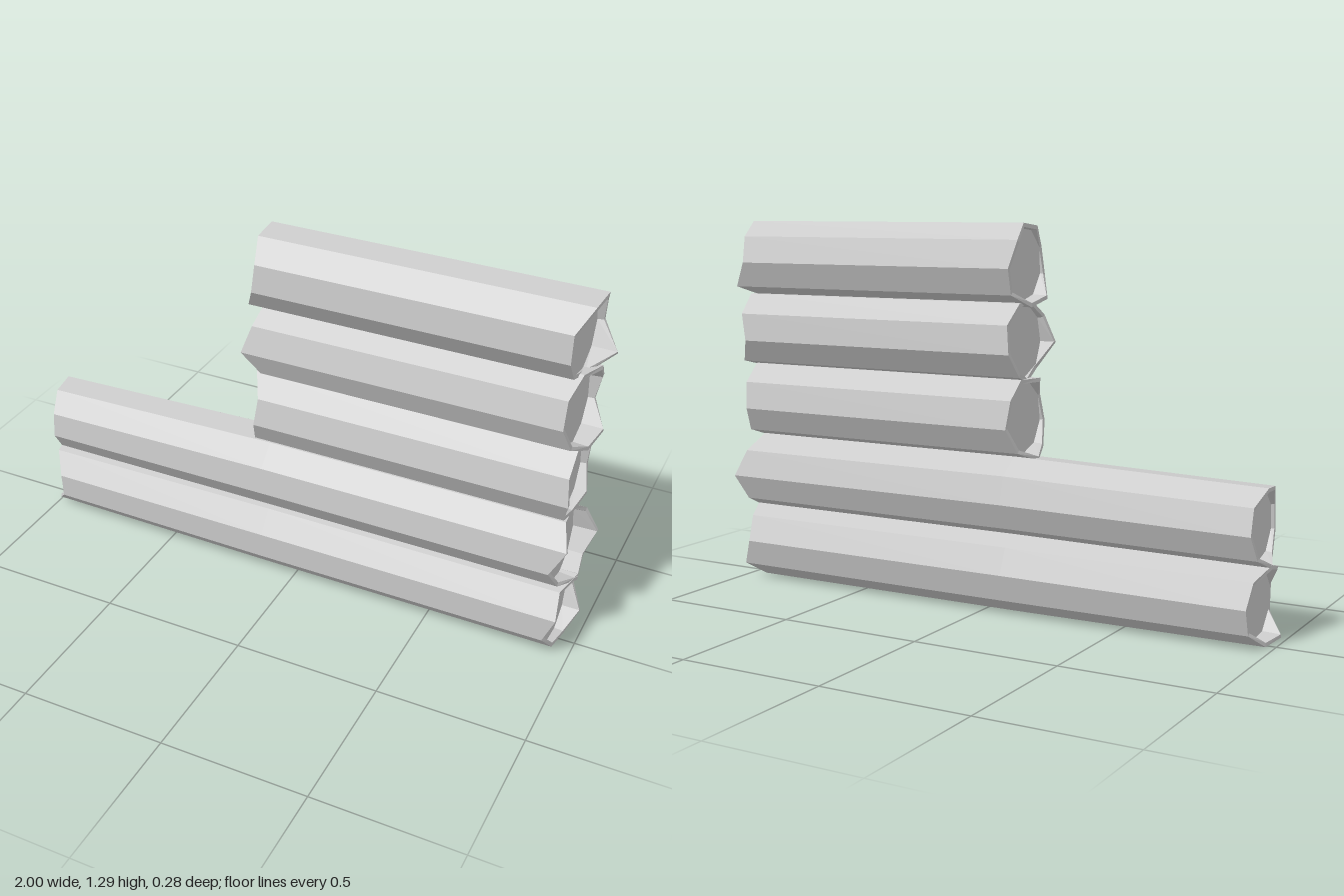
import * as THREE from 'three';

const SIDES = 9;
const RADIUS = 0.139;
const CORE = 0.122; // radius of the recessed wood face

// One log along x. The bark sticks out past the wood faces by jagged amounts
// (left / right, in hundredths, one value per bark corner).
function makeLog({ name, y, phase, x0, left, right, taper = 1, drop = 0 }) {
  const x1 = 0.92;
  const start = THREE.MathUtils.degToRad(phase);
  const mid = -0.1;

  const ring = (x, r, dy, jag) => Array.from({ length: SIDES }, (_, i) => {
    const a = start + (i * Math.PI * 2) / SIDES;
    return new THREE.Vector3(x + (jag ? jag[i] / 100 : 0), y + dy + r * Math.sin(a), -r * Math.cos(a));
  });
  const leftJag = left.map((v) => -v);

  // wood face, inner bark, bark lip, outside, then the same mirrored
  const rings = [
    ring(x0, 0, drop),
    ring(x0, CORE * taper, drop),
    ring(x0, (CORE + 0.003) * taper, drop, leftJag),
    ring(x0, RADIUS * taper, drop, leftJag),
  ];
  if (taper !== 1) rings.push(ring(mid, RADIUS, 0));
  rings.push(
    ring(x1, RADIUS, 0, right),
    ring(x1, CORE + 0.003, 0, right),
    ring(x1, CORE, 0),
    ring(x1, 0, 0),
  );

  const points = [];
  for (let k = 0; k < rings.length - 1; k++) {
    const a = rings[k];
    const b = rings[k + 1];
    for (let i = 0; i < SIDES; i++) {
      const j = (i + 1) % SIDES;
      if (k > 0) points.push(a[i], a[j], b[j]);
      if (k < rings.length - 2) points.push(a[i], b[j], b[i]);
      // centre fans of the two wood faces
      if (k === 0) points.push();
    }
  }
  const geometry = new THREE.BufferGeometry().setFromPoints(points);
  geometry.computeVertexNormals();
  const mesh = new THREE.Mesh(
    geometry,
    new THREE.MeshStandardMaterial({ color: 0xcccccc, flatShading: true, side: THREE.DoubleSide }),
  );
  mesh.name = name;
  return mesh;
}

export function createModel() {
  const group = new THREE.Group();
  group.name = 'logWall';
  const logs = [
    // long logs, tapering slightly towards the left end
    { name: 'longLogBottom', y: 0.138, phase: 3, x0: -0.935, taper: 0.93, drop: -0.005,
      left: [1, 2, 5, 4, 0, 0, 6, 4, 1], right: [2, 3, 6, 3, 4, 0, 2, 3, 6] },
    { name: 'longLogUpper', y: 0.393, phase: -5, x0: -0.935, taper: 0.93, drop: -0.015,
      left: [2, 2, 4, 3, 1, 1, 2, 5, 3], right: [8, 4, 2, 2, 5, 0, 2, 6, 5] },
    // short logs
    { name: 'shortLogBottom', y: 0.653, phase: -10, x0: -0.11,
      left: [1, 2, 2, 4, 0, 1, 3, 6, 3], right: [2, 3, 4, 3, 3, 4, 2, 2, 4] },
    { name: 'shortLogMiddle', y: 0.908, phase: -15, x0: -0.11,
      left: [2, 1, 2, 1, 2, 5, 0, 1, 3], right: [2, 4, 5, 2, 0, 0, 2, 5, 7] },
    { name: 'shortLogTop', y: 1.158, phase: -4, x0: -0.11,
      left: [2, 4, 2, 2, 0, 1, 5, 4, 1], right: [2, 3, 5, 4, 0, 0, 0, 1, 8] },
  ];
  logs.forEach((log) => group.add(makeLog(log)));
  return group;
}
